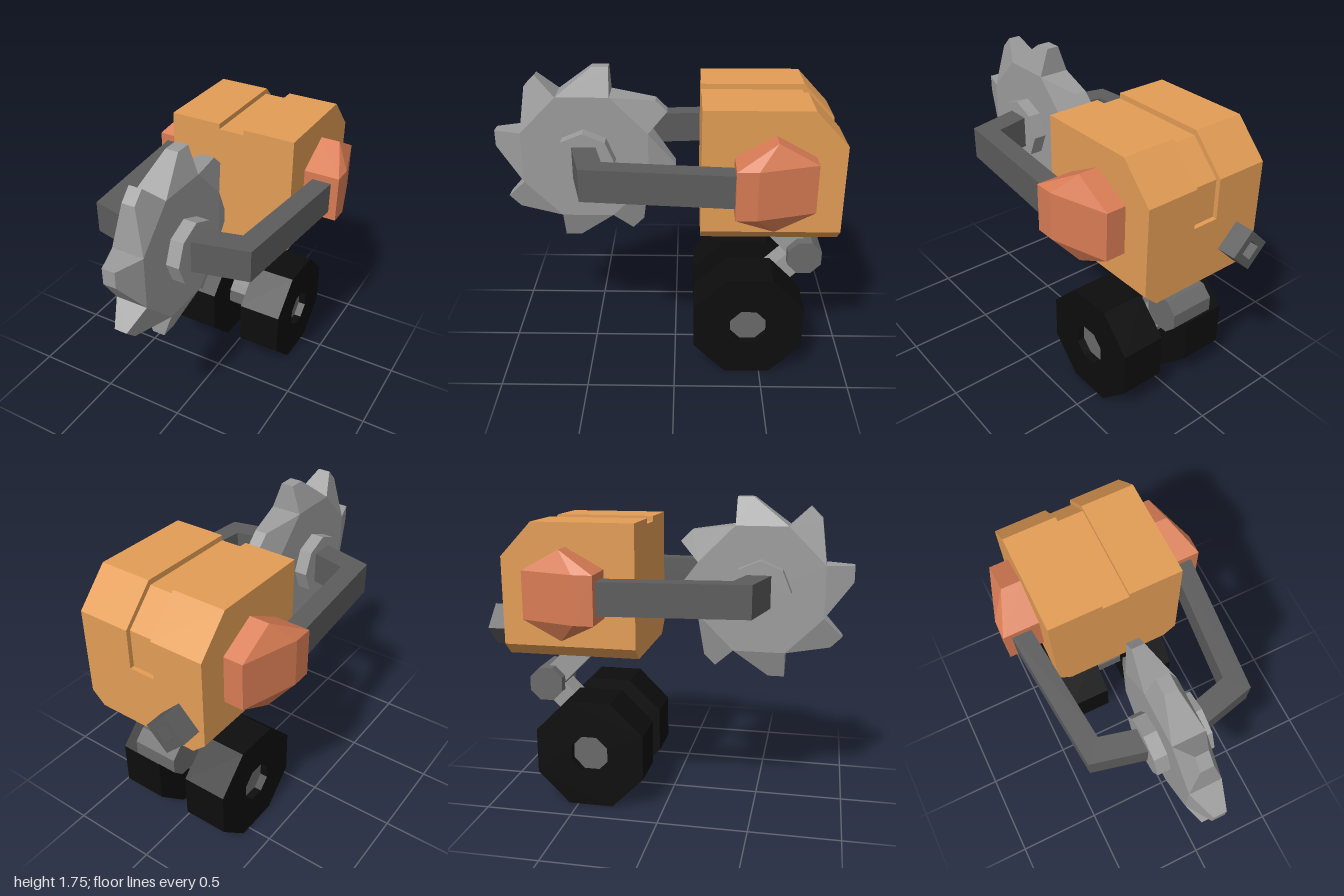
import * as THREE from 'three';
import { ConvexGeometry } from 'three/addons/geometries/ConvexGeometry.js';

const paint = (color) => new THREE.MeshStandardMaterial({ color, flatShading: true });

export function createModel() {
  const model = new THREE.Group();
  const orange = paint(0xe39d55), rust = paint(0xd87c54), steel = paint(0x9c9c9c);
  const dark = paint(0x5c5c5c), joint = paint(0x6a6a6a), rubber = paint(0x0d0d0d);

  const add = (name, geometry, material, parent = model) => {
    const mesh = new THREE.Mesh(geometry, material);
    mesh.name = name;
    parent.add(mesh);
    return mesh;
  };
  const shapeOf = (pts) => new THREE.Shape(pts.map(([a, b]) => new THREE.Vector2(a, b)));
  const extrude = (shape, depth) => new THREE.ExtrudeGeometry(shape, { depth, bevelEnabled: false });
  // Side profile of (z, y) points, swept from x0 to x1
  const sweepX = (shape, x0, x1) => extrude(shape, x1 - x0).rotateY(-Math.PI / 2).translate(x1, 0, 0);
  // Eight-sided drum lying along x
  const drum = (radius, width, y, z, turn = Math.PI / 8) =>
    new THREE.CylinderGeometry(radius, radius, width, 8).rotateZ(Math.PI / 2).rotateX(turn).translate(0, y, z);
  const octagon = (radius, z, y) => Array.from({ length: 8 }, (_, i) => {
    const a = (i + 0.5) * Math.PI / 4;
    return [z + radius * Math.cos(a), y + radius * Math.sin(a)];
  });

  // Body: two outer slabs, a sunken centre strip and a chamfered base
  const body = new THREE.Group();
  body.name = 'body';
  model.add(body);
  const slab = shapeOf([[-0.14, 0.95], [-0.14, 1.63], [-0.71, 1.63], [-0.89, 1.44], [-0.89, 0.95]]);
  const strip = shapeOf([[-0.14, 0.95], [-0.14, 1.6], [-0.7, 1.6], [-0.865, 1.43],
    [-0.865, 1.22], [-0.89, 1.22], [-0.89, 0.95]]);
  add('bodyLeft', sweepX(slab, 0.075, 0.375), orange, body);
  add('bodyRight', sweepX(slab, -0.375, -0.075), orange, body);
  add('bodyGroove', sweepX(strip, -0.075, 0.075), orange, body);
  const base = shapeOf([[-0.375, 0.95], [-0.3, 0.88], [0.3, 0.88], [0.375, 0.95]]);
  add('bodyBase', extrude(base, 0.75).translate(0, 0, -0.89), orange, body);

  // Shoulders and bent arms, mirrored
  for (const s of [1, -1]) {
    const side = s > 0 ? 'left' : 'right';
    const points = [];
    const put = (x, y, z) => points.push(new THREE.Vector3(s * x, y, z));
    for (const x of [0.36, 0.485]) {
      for (const y of [1.5, 1.01]) put(x, y, -0.52);
      for (const y of [1.385, 1.12]) put(x, y, -0.73);
    }
    for (const y of [1.385, 1.12]) {
      put(0.36, y, -0.31);
      put(0.58, y, -0.31);
      put(0.58, y, -0.42);
    }
    add(side + 'Shoulder', new ConvexGeometry(points), rust);

    const arm = shapeOf([[0.543, -0.4], [0.465, 0.49], [0.1, 0.577], [0.1, 0.445], [0.36, 0.38], [0.433, -0.4]]
      .map(([x, z]) => [s * x, -z]));
    add(side + 'Arm', extrude(arm, 0.18).rotateX(-Math.PI / 2).translate(0, 1.165, 0), dark);
  }

  // Saw blade: octagonal disc, hub and eight tapered hooked teeth
  const saw = new THREE.Group();
  saw.name = 'saw';
  saw.position.set(0, 1.25, 0.5);
  model.add(saw);
  add('sawDisc', drum(0.38, 0.18, 0, 0), steel, saw);
  add('sawHub', drum(0.172, 0.33, 0, 0, 0), steel, saw);
  const toothPoints = [];
  for (const s of [1, -1]) {
    toothPoints.push(
      new THREE.Vector3(s * 0.09, 0.351, 0.145), new THREE.Vector3(s * 0.09, 0.351, -0.145),
      new THREE.Vector3(s * 0.036, 0.503, -0.052), new THREE.Vector3(s * 0.036, 0.503, -0.142));
  }
  const tooth = new ConvexGeometry(toothPoints);
  for (let i = 0; i < 8; i++) add('sawTooth', tooth, steel, saw).rotation.x = i * Math.PI / 4;

  // Folded leg: two struts meeting at a knee
  const strut = (name, width, from, to) => {
    const dz = to[0] - from[0], dy = to[1] - from[1];
    const mesh = add(name, new THREE.BoxGeometry(width, 0.135, Math.hypot(dz, dy)), steel);
    mesh.position.set(0, (from[1] + to[1]) / 2, (from[0] + to[0]) / 2);
    mesh.rotation.x = Math.atan2(-dy, dz);
  };
  strut('upperLeg', 0.14, [-0.755, 0.645], [-0.44, 0.965]);
  strut('lowerLeg', 0.15, [-0.755, 0.645], [-0.425, 0.3125]);
  add('knee', drum(0.107, 0.26, 0.645, -0.755), joint);

  // Axle and a pair of wide wheels with recessed hubs
  add('axle', drum(0.1138, 0.62, 0.3125, -0.425), joint);
  const tyre = shapeOf(octagon(0.338, -0.425, 0.3125));
  tyre.holes.push(shapeOf(octagon(0.1138, -0.425, 0.3125)));
  add('leftWheel', sweepX(tyre, 0.095, 0.355), rubber);
  add('rightWheel', sweepX(tyre, -0.355, -0.095), rubber);

  // Exhaust: diamond-shaped pipe on the back, hollow at the end
  const diamond = (r) => shapeOf([[r, 0], [0, r], [-r, 0], [0, -r]]);
  const pipe = diamond(0.118);
  pipe.holes.push(diamond(0.058));
  const exhaust = new THREE.Group();
  exhaust.name = 'exhaust';
  exhaust.position.set(-0.227, 1.028, -1);
  model.add(exhaust);
  add('exhaustRim', extrude(pipe, 0.05), dark, exhaust);
  add('exhaustBase', extrude(diamond(0.118), 0.08).translate(0, 0, 0.05), dark, exhaust);

  return model;
}
